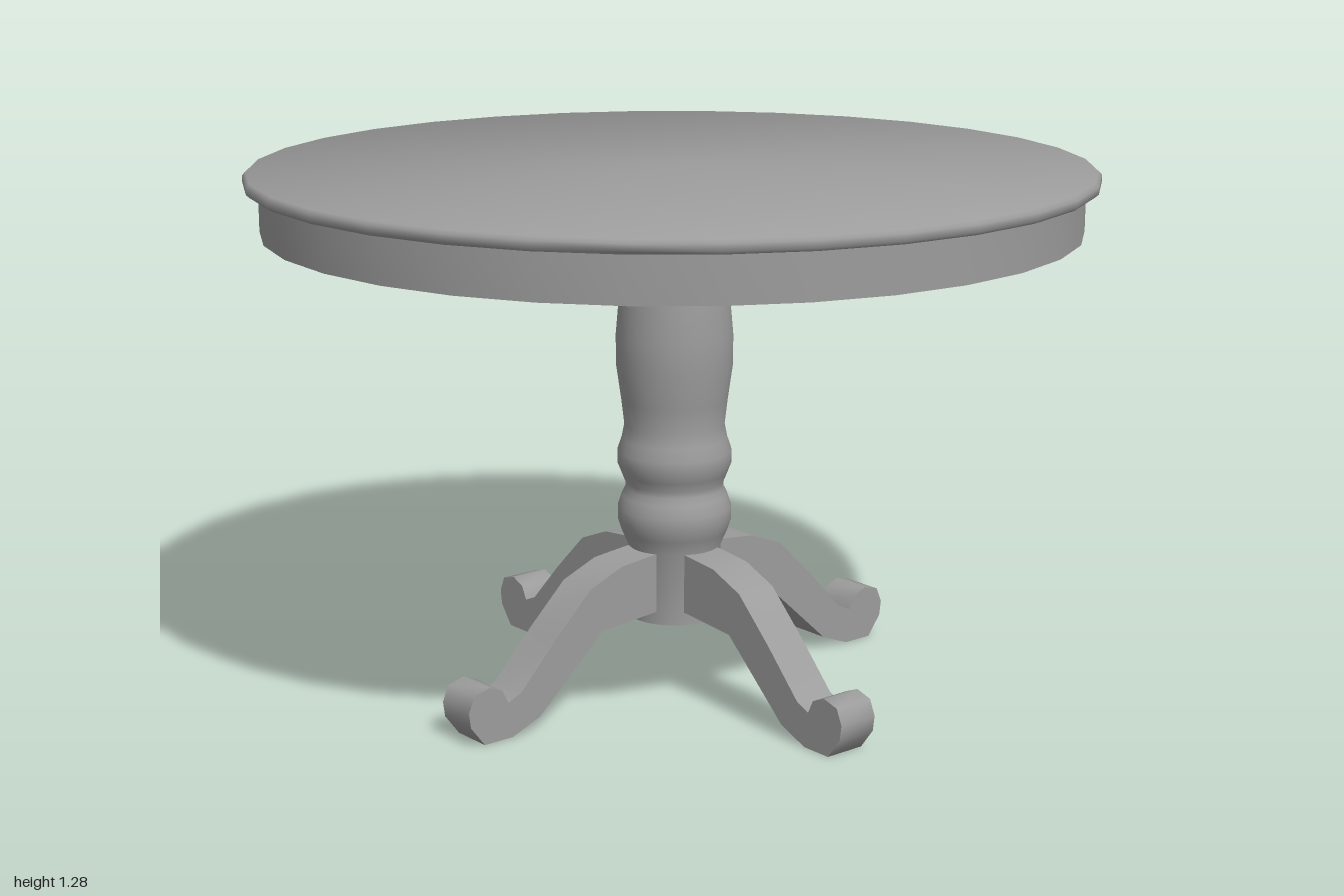
import * as THREE from 'three';
import { toCreasedNormals } from 'three/addons/utils/BufferGeometryUtils.js';

const material = new THREE.MeshStandardMaterial({ color: 0x9c9c9c });
const points = (list) => list.map(([x, y]) => new THREE.Vector2(x, y));

function makeMesh(name, geometry, crease) {
  const mesh = new THREE.Mesh(toCreasedNormals(geometry, crease), material);
  mesh.name = name;
  return mesh;
}

// Turned part from a profile of [radius, height], bottom to top
const turned = (name, profile) =>
  makeMesh(name, new THREE.LatheGeometry(points(profile), 32), 0.9);

export function createModel() {
  const table = new THREE.Group();
  table.name = 'pedestalTable';

  // Round top with a softened rim, and the apron below it
  table.add(turned('tableTop', [
    [0, 1.253], [0.992, 1.253], [1, 1.26], [1, 1.276], [0.992, 1.284], [0, 1.284],
  ]));
  table.add(turned('apron', [[0, 1.143], [0.965, 1.143], [0.965, 1.26], [0, 1.26]]));

  // The pedestal stands very slightly off the centre of the top
  const pedestal = new THREE.Group();
  pedestal.name = 'pedestal';
  pedestal.position.set(0.004, 0, 0.004);
  table.add(pedestal);

  // Turned column: plain hub, two rings, then a vase shape
  pedestal.add(turned('column', [
    [0, 0.184], [0.113, 0.184], [0.113, 0.36], [0.128, 0.395], [0.138, 0.425],
    [0.138, 0.455], [0.128, 0.485], [0.119, 0.503], [0.119, 0.517], [0.128, 0.54],
    [0.138, 0.565], [0.138, 0.595], [0.128, 0.625], [0.121, 0.66], [0.128, 0.72],
    [0.14, 0.805], [0.141, 0.88], [0.133, 0.97], [0.122, 1.07], [0.112, 1.15], [0, 1.15],
  ]));

  // Curved leg with a scrolled foot, cut from a side outline
  const outline = new THREE.Shape(points([
    [0.04, 0.215], [0.107, 0.215], [0.265, 0.202], [0.361, 0.115], [0.452, 0.032],
    [0.532, 0], [0.612, 0], [0.65, 0.05], [0.655, 0.087], [0.639, 0.124],
    [0.596, 0.136], [0.559, 0.12], [0.543, 0.087], [0.505, 0.104], [0.404, 0.211],
    [0.3, 0.312], [0.206, 0.35], [0.107, 0.36], [0.04, 0.36],
  ]));
  const width = 0.104;
  const legShape = new THREE.ExtrudeGeometry(outline, { depth: width, bevelEnabled: false });
  legShape.translate(0, 0, -width / 2);

  const names = ['leftLeg', 'backLeg', 'rightLeg', 'frontLeg'];
  names.forEach((name, i) => {
    const leg = makeMesh(name, legShape, 1.2);
    leg.rotation.y = (i * Math.PI) / 2;
    pedestal.add(leg);
  });

  return table;
}
